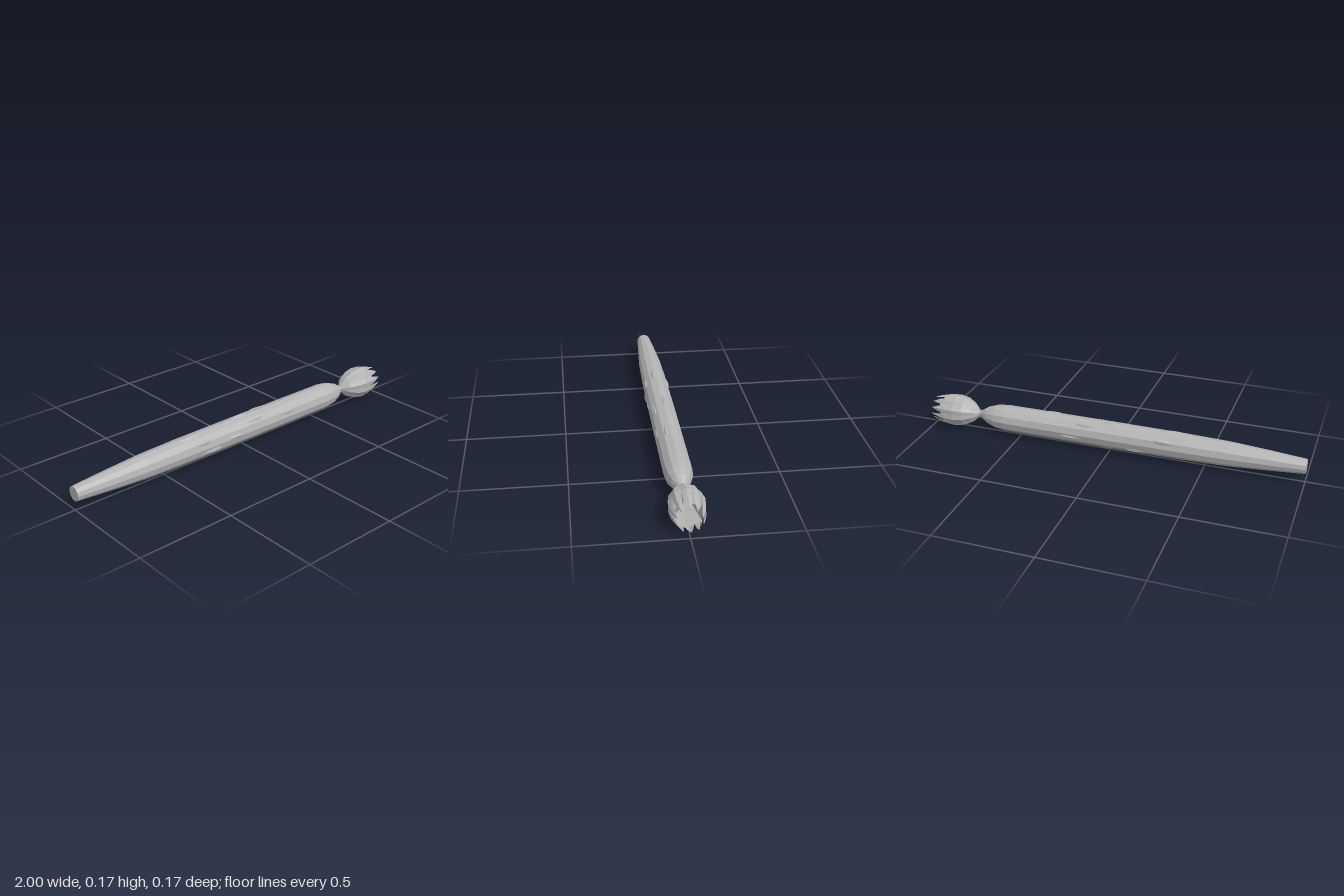
import * as THREE from 'three';

const AXIS_Y = 0.088;

export function createModel() {
  const model = new THREE.Group();
  const gray = new THREE.MeshStandardMaterial({ color: 0xb4b4b4, flatShading: true, side: THREE.DoubleSide });
  gray.name = 'matte gray';

  // Everything is built around the x axis, then raised
  const spear = new THREE.Group();
  spear.name = 'spear';
  spear.position.y = AXIS_Y;
  model.add(spear);

  const add = (name, geometry) => {
    const mesh = new THREE.Mesh(geometry, gray);
    mesh.name = name;
    spear.add(mesh);
    return mesh;
  };

  // Position at distance x along the spear, radius r and angle a (0 = front, 90 = top)
  const polar = (x, r, a) => [x, r * Math.sin(a), r * Math.cos(a)];

  // Surface through equal-length rows of points
  const loft = (rows) => {
    const n = rows[0].length, index = [];
    for (let i = 0; i < rows.length - 1; i++) {
      for (let j = 0; j < n - 1; j++) {
        const a = i * n + j, b = a + 1, c = a + n, d = c + 1;
        index.push(a, b, c, b, d, c);
      }
    }
    const geometry = new THREE.BufferGeometry();
    geometry.setAttribute('position', new THREE.Float32BufferAttribute(rows.flat(2), 3));
    geometry.setIndex(index);
    geometry.computeVertexNormals();
    return geometry;
  };

  // Long twelve-sided stalk with a blunt end and a tapered neck
  const profile = [
    [0, -1], [0.037, -1], [0.05, -0.82], [0.062, -0.62], [0.067, -0.4], [0.069, 0],
    [0.069, 0.58], [0.062, 0.64], [0.045, 0.69], [0.018, 0.73], [0.014, 0.75],
  ].map(([r, x]) => new THREE.Vector2(r, x));
  const stalk = new THREE.LatheGeometry(profile, 12);
  stalk.rotateZ(-Math.PI / 2);
  add('stalk', stalk);

  // Low wedge-shaped bumps: position, angle in degrees, height
  const bumps = [
    [-0.35, 80, 0.006], [-0.3, 30, 0.006], [-0.24, -20, 0.007], [-0.1, 5, 0.005],
    [-0.02, 95, 0.008], [0.05, 45, 0.006], [0.3, 70, 0.006], [0.26, 25, 0.006],
    [0.42, -85, 0.01], [-0.08, -80, 0.005], [0.12, 130, 0.006], [-0.3, 150, 0.007],
    [0.2, 195, 0.006], [-0.15, 215, 0.007], [0, 250, 0.006],
  ];
  bumps.forEach(([x, deg, h]) => {
    const a = THREE.MathUtils.degToRad(deg);
    const row = (dx, spread, lift) => [-1, 0, 1].map((s) =>
      polar(x + dx, s ? 0.062 : 0.067 + lift, a + s * spread));
    add('bump', loft([row(-0.09, 0.1, -0.004), row(0.0, 0.4, h), row(0.04, 0.35, h * 0.8), row(0.07, 0.1, -0.004)]));
  });

  // Five-sided open cup inside the flower
  const start = THREE.MathUtils.degToRad(75);
  const ring = (x, r) => Array.from({ length: 6 }, (_, i) => {
    const a = start + (i + 0.5) * Math.PI * 2 / 5;
    return polar(x, r, Math.PI - a);
  });
  add('innerCup', loft([ring(0.74, 0.004), ring(0.95, 0.068)]));

  // Ten pointed petals: x, radius, half width
  const petal = [
    [0.735, 0.012, 0.003], [0.775, 0.05, 0.016], [0.82, 0.075, 0.024],
    [0.87, 0.084, 0.027], [0.92, 0.08, 0.023], [0.96, 0.071, 0.015], [1, 0.057, 0.001],
  ];
  for (let i = 0; i < 10; i++) {
    const a = Math.PI - (start + (i + 0.5) * Math.PI / 5);
    add('petal', loft(petal.map(([x, r, w]) => [-1, 0, 1].map((s) =>
      polar(x, r * (s ? 0.95 : 1.02), a + s * w / r)))));
  }

  // Small pointed sepals at the neck
  for (let i = 0; i < 5; i++) {
    const a = start + i * Math.PI * 2 / 5;
    add('sepal', loft([
      [polar(0.735, 0.012, a - 0.4), polar(0.735, 0.012, a + 0.4)],
      [polar(0.73, 0.032, a - 0.02), polar(0.73, 0.032, a + 0.02)],
    ]));
  }
  return model;
}
